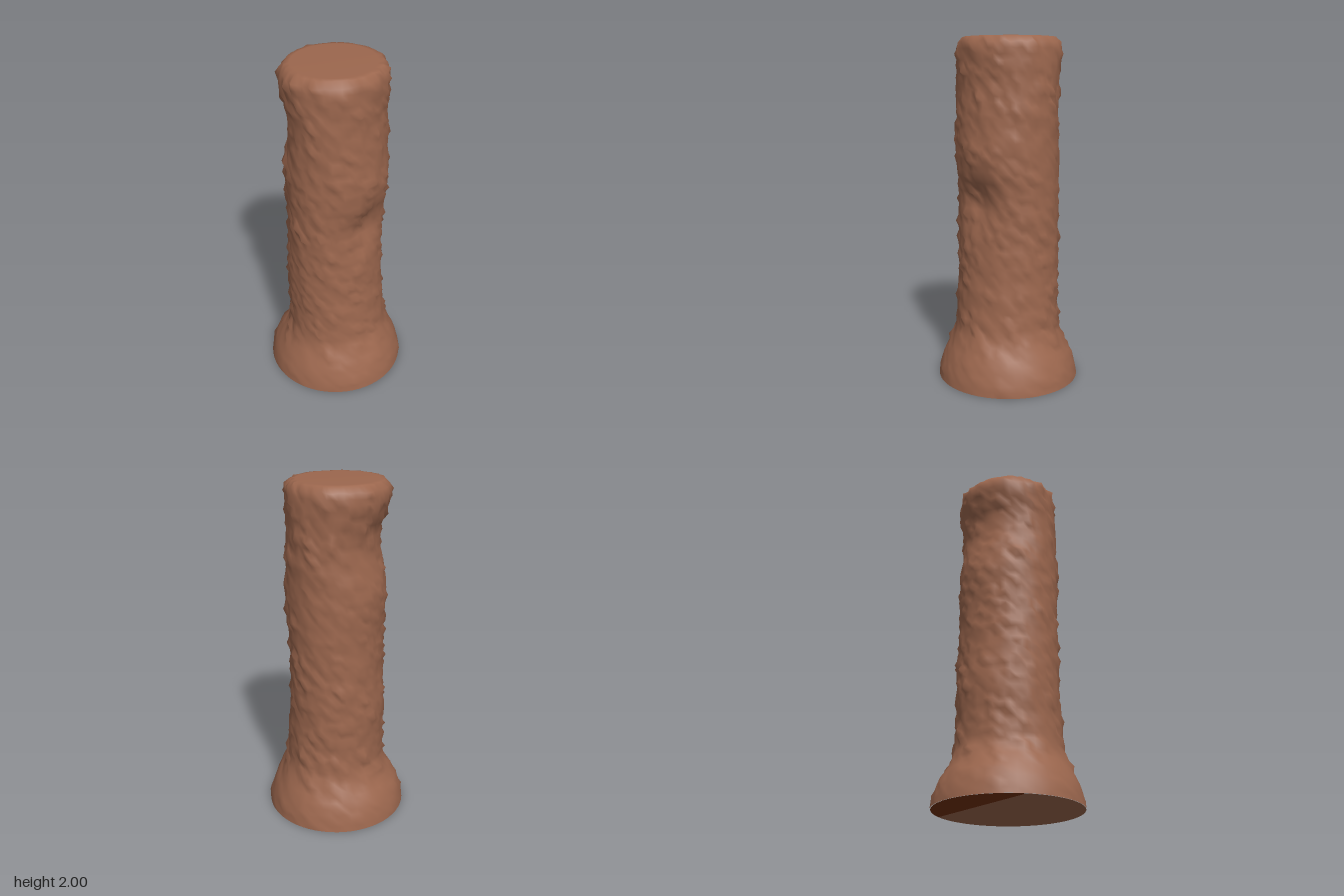
import * as THREE from 'three';
import { mergeVertices } from 'three/addons/utils/BufferGeometryUtils.js';

// Outline rows: height, reach to -x, reach to +x, half depth in z
const OUTLINE = [
  [0, 0.418, 0.412, 0.418], [0.05, 0.41, 0.405, 0.41], [0.1, 0.395, 0.39, 0.395],
  [0.15, 0.375, 0.375, 0.375], [0.2, 0.34, 0.35, 0.352], [0.25, 0.308, 0.325, 0.33],
  [0.32, 0.285, 0.3, 0.31], [0.45, 0.278, 0.285, 0.302], [0.65, 0.288, 0.268, 0.3],
  [0.85, 0.274, 0.26, 0.3], [1.05, 0.27, 0.264, 0.3], [1.2, 0.274, 0.278, 0.3],
  [1.35, 0.285, 0.29, 0.3], [1.45, 0.275, 0.28, 0.3], [1.6, 0.242, 0.27, 0.3],
  [1.7, 0.24, 0.265, 0.3], [1.8, 0.265, 0.268, 0.3], [1.88, 0.298, 0.272, 0.302],
  [1.95, 0.3, 0.27, 0.3], [1.98, 0.288, 0.262, 0.29], [1.994, 0.265, 0.24, 0.265],
];
const SEGMENTS = 60;
const ROWS = 62;

function outlineAt(y) {
  let i = 0;
  while (i < OUTLINE.length - 2 && OUTLINE[i + 1][0] < y) i++;
  const a = OUTLINE[i], b = OUTLINE[i + 1];
  const t = THREE.MathUtils.clamp((y - a[0]) / (b[0] - a[0]), 0, 1);
  return a.map((v, k) => THREE.MathUtils.lerp(v, b[k], t));
}

function seededRandom(seed) {
  return () => {
    seed = (seed * 1664525 + 1013904223) % 4294967296;
    return seed / 4294967296;
  };
}

// Rough bark: random bumps, a few of them pointed
function makeBumps() {
  const random = seededRandom(11);
  return Array.from({ length: (ROWS + 1) * SEGMENTS }, () => {
    const bump = (random() - 0.5) * 0.012;
    return random() < 0.08 ? bump + 0.014 : bump;
  });
}

function trunkGeometry() {
  // Rows up the side, then rings closing over the flat top
  const rows = [];
  for (let j = 0; j <= ROWS; j++) rows.push(new THREE.Vector2(1, 1.994 * j / ROWS));
  rows.push(new THREE.Vector2(0.9, 1.997), new THREE.Vector2(0.5, 1.998), new THREE.Vector2(0, 2));

  const lathe = new THREE.LatheGeometry(rows, SEGMENTS);
  const position = lathe.attributes.position;
  const bumps = makeBumps();

  for (let i = 0; i < position.count; i++) {
    const row = i % rows.length;
    const column = Math.floor(i / rows.length) % SEGMENTS;
    const scale = rows[row].x;
    const angle = Math.PI / 2 - column / SEGMENTS * Math.PI * 2;
    let y = rows[row].y;
    const [, left, right, depth] = outlineAt(y);

    let bump = 0;
    if (row > 0 && row <= ROWS) {
      const strength = y < 0.2 ? 0.5 : 1;
      bump = bumps[row * SEGMENTS + column] * strength;
      if (row < ROWS) y += bumps[(row * SEGMENTS + column * 7 + 31) % bumps.length] * 0.6;
    }
    // Hollow knocked into the +x side
    const turn = Math.atan2(Math.sin(angle - 0.25), Math.cos(angle - 0.25));
    const rise = y - 1.09;
    const hollow = 0.055 * Math.exp(-((turn / 0.48) ** 2) - (rise / (rise > 0 ? 0.12 : 0.16)) ** 2);

    const swell = bump - hollow;
    const x = (right - left) / 2 + ((right + left) / 2 + swell) * Math.cos(angle) * scale;
    const z = (depth + swell) * Math.sin(angle) * scale;
    position.setXYZ(i, x, y, z);
  }

  // Weld the seam for smooth shading all round
  lathe.deleteAttribute('uv');
  lathe.deleteAttribute('normal');
  const welded = mergeVertices(lathe, 1e-5);
  welded.computeVertexNormals();
  return welded;
}

// Part of the underside between two angles, facing down
function undersidePart(startDegrees, endDegrees) {
  const shape = new THREE.Shape();
  shape.absarc(0, 0, 0.414, THREE.MathUtils.degToRad(startDegrees), THREE.MathUtils.degToRad(endDegrees), false);
  return new THREE.ShapeGeometry(shape, 32).rotateX(Math.PI / 2);
}

export function createModel() {
  const bark = new THREE.MeshStandardMaterial({ color: 0x9c674e });
  bark.name = 'bark brown';
  const rust = new THREE.MeshStandardMaterial({ color: 0x74310a });
  rust.name = 'rust brown';

  const model = new THREE.Group();
  model.name = 'treeTrunk';
  const add = (name, geometry, material) => {
    const mesh = new THREE.Mesh(geometry, material);
    mesh.name = name;
    model.add(mesh);
  };
  add('trunk', trunkGeometry(), bark);
  add('underside', undersidePart(256, 492), bark);
  add('undersidePatch', undersidePart(132, 256), rust);
  return model;
}
